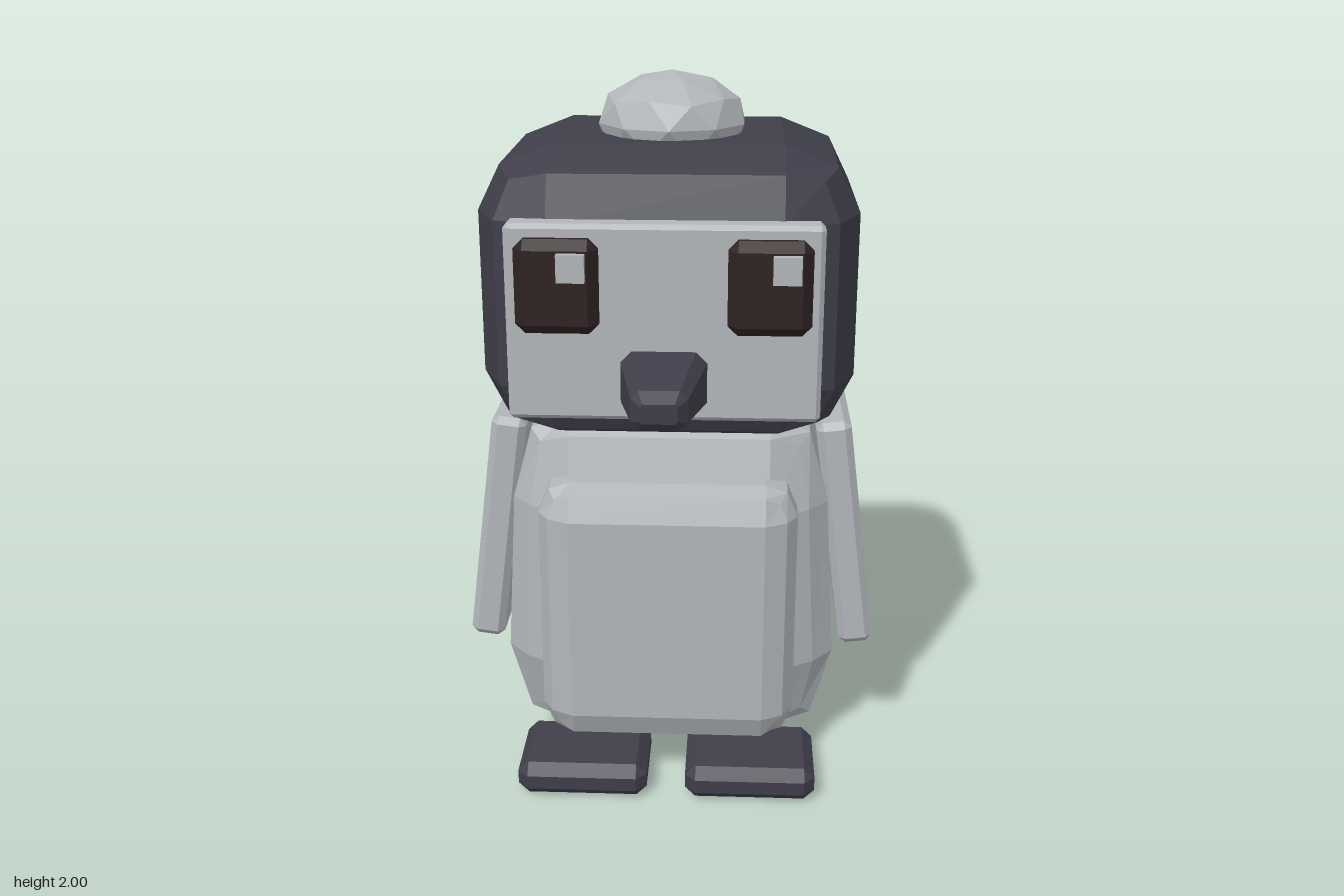
import * as THREE from 'three';
import { ConvexGeometry } from 'three/addons/geometries/ConvexGeometry.js';

const mat = (name, color) => {
  const m = new THREE.MeshStandardMaterial({ color });
  m.name = name;
  return m;
};

// Box with every edge cut off at c.
function chamferBox(w, h, d, c) {
  const points = [];
  for (const x of [-1, 1]) for (const y of [-1, 1]) for (const z of [-1, 1]) {
    const p = [x * w / 2, y * h / 2, z * d / 2];
    for (let keep = 0; keep < 3; keep++) {
      const q = p.map((v, i) => (i === keep ? v : v - Math.sign(v) * c));
      points.push(new THREE.Vector3(...q));
    }
  }
  return new ConvexGeometry(points);
}

// Faceted rounded block: a 3x3x3 box whose face, edge and corner points sit
// at half sizes face, edge and corner; mid is the half size of the flat centre.
function roundedBlock(face, mid, edge, corner, taper = () => 1) {
  const g = new THREE.BoxGeometry(2, 2, 2, 3, 3, 3).toNonIndexed();
  const pos = g.attributes.position;
  for (let i = 0; i < pos.count; i++) {
    const p = [pos.getX(i), pos.getY(i), pos.getZ(i)];
    const outer = p.filter((v) => Math.abs(v) > 0.9).length;
    const size = [face, edge, corner][outer - 1];
    const q = p.map((v, k) => Math.sign(v) * (Math.abs(v) > 0.9 ? size[k] : mid[k]));
    pos.setXYZ(i, q[0] * taper(q[1]), q[1], q[2]);
  }
  g.computeVertexNormals();
  return g;
}

export function createModel() {
  const root = new THREE.Group();
  root.name = 'penguin';
  const grey = mat('light grey', 0xb2b6ba);
  const dark = mat('dark slate', 0x3f3e4a);
  const brown = mat('dark brown', 0x2e2222);

  const add = (name, geometry, material, x, y, z) => {
    const mesh = new THREE.Mesh(geometry, material);
    mesh.name = name;
    mesh.position.set(x, y, z);
    root.add(mesh);
    return mesh;
  };

  // Body, slightly narrower toward the top, with a raised belly
  add('body', roundedBlock([0.48, 0.5, 0.36], [0.3, 0.24, 0.22], [0.42, 0.45, 0.29],
    [0.39, 0.42, 0.25], (y) => (y > 0 ? 0.94 : 1)), grey, 0, 0.57, -0.09);
  add('belly', roundedBlock([0.36, 0.39, 0.12], [0.27, 0.3, 0.04], [0.33, 0.37, 0.09],
    [0.31, 0.35, 0.075]), grey, 0, 0.53, 0.25);

  // Head with face plate
  add('head', roundedBlock([0.5, 0.395, 0.44], [0.3, 0.22, 0.25], [0.44, 0.34, 0.385],
    [0.4, 0.32, 0.36]), dark, 0, 1.445, -0.02);
  add('facePlate', chamferBox(0.8, 0.51, 0.08, 0.012), grey, 0, 1.425, 0.435);

  // Tuft on the crown
  const tuft = new THREE.IcosahedronGeometry(1, 1);
  tuft.rotateZ(-0.5536).scale(0.205, 0.135, 0.21);
  tuft.computeVertexNormals();
  add('tuft', tuft, grey, 0, 1.865, -0.01);

  // Beak: chamfered sections [z, half width, bottom, top, chamfer]
  const beak = [];
  for (const [z, w, y0, y1, c] of [
    [0.45, 0.115, 1.19, 1.36, 0.03],
    [0.69, 0.07, 1.225, 1.325, 0.02],
    [0.72, 0.045, 1.25, 1.3, 0.006],
  ]) {
    for (const s of [-1, 1]) {
      for (const [x, y] of [[w - c, y0], [w, y0 + c], [w, y1 - c], [w - c, y1]]) {
        beak.push(new THREE.Vector3(s * x, y, z));
      }
    }
  }
  add('beak', new ConvexGeometry(beak), dark, 0, 0, 0);

  for (const s of [1, -1]) {
    const side = s > 0 ? 'left' : 'right';
    // Eye, with its glint on the same side in both eyes
    add(side + 'Eye', chamferBox(0.21, 0.24, 0.065, 0.025), brown, s * 0.265, 1.53, 0.4975);
    add(side + 'Glint', new THREE.BoxGeometry(0.07, 0.07, 0.03), grey, s * 0.265 + 0.04, 1.585, 0.535);

    // Flipper
    const flipper = add(side + 'Flipper', chamferBox(0.1, 0.7, 0.36, 0.02), grey, s * 0.506, 0.692, -0.06);
    flipper.rotation.z = s * 0.13;

    // Foot: toes, heel and ankle
    add(side + 'Toes', chamferBox(0.37, 0.1, 0.28, 0.03), dark, s * 0.24, 0.05, 0.3);
    add(side + 'Heel', chamferBox(0.21, 0.07, 0.27, 0.02), dark, s * 0.225, 0.065, 0.05);
    add(side + 'Ankle', chamferBox(0.21, 0.09, 0.11, 0.025), dark, s * 0.225, 0.095, -0.065);
  }

  // Tail in two steps, sloping down to the back
  const base = add('tailBase', chamferBox(0.43, 0.1, 0.34, 0.025), grey, 0, 0.235, -0.445);
  const tip = add('tailTip', chamferBox(0.28, 0.1, 0.2, 0.025), grey, 0, 0.145, -0.625);
  base.rotation.x = tip.rotation.x = -0.46;

  return root;
}
